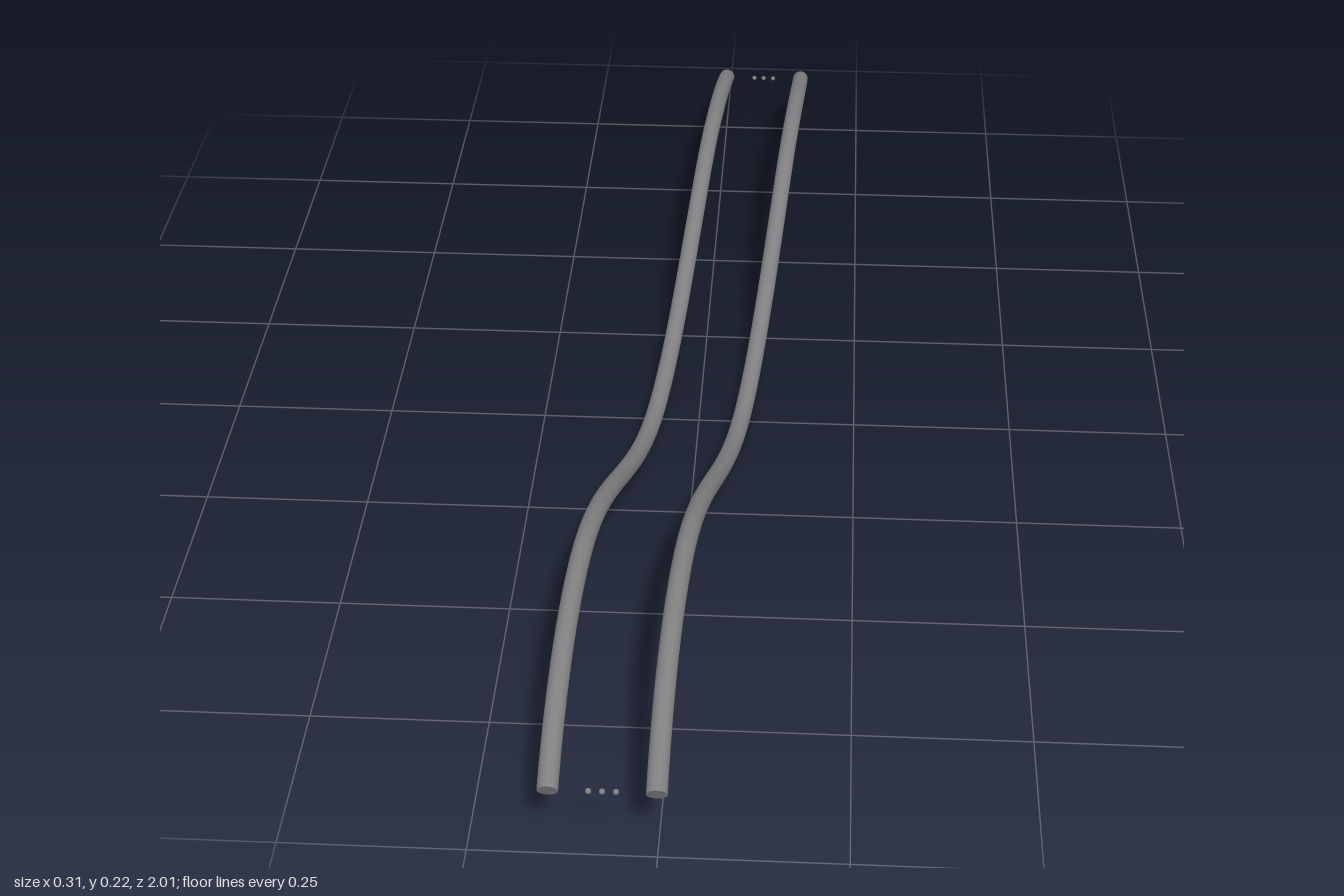
import * as THREE from 'three';

const RADIUS = 0.014, SHIFT = 0.1405, END_Y = 0.109;

// Height knots along the rail: z, y, slope dy/dz
const KNOTS = [
  [-1, END_Y, 0.43],
  [-0.65, 0.188, 0],
  [0, RADIUS, 0],
  [0.64, 0.208, 0],
  [1, END_Y, -0.5],
];

function heightAt(z) {
  let i = 0;
  while (i < KNOTS.length - 2 && z > KNOTS[i + 1][0]) i++;
  const [z0, y0, m0] = KNOTS[i], [z1, y1, m1] = KNOTS[i + 1];
  const h = z1 - z0, t = (z - z0) / h, t2 = t * t, t3 = t2 * t;
  return (2 * t3 - 3 * t2 + 1) * y0 + (t3 - 2 * t2 + t) * h * m0
    + (3 * t2 - 2 * t3) * y1 + (t3 - t2) * h * m1;
}

// Wavy path that also drifts sideways in a gentle S
class RailCurve extends THREE.Curve {
  constructor(startX) {
    super();
    this.startX = startX;
  }
  getPoint(t, target = new THREE.Vector3()) {
    const z = 1 - 2 * t;
    const x = this.startX + SHIFT * t * t * (3 - 2 * t);
    return target.set(x, heightAt(z), z);
  }
}

export function createModel() {
  const model = new THREE.Group();
  const material = new THREE.MeshStandardMaterial({ color: 0x808080 });
  const add = (parent, geometry, name) => {
    const mesh = new THREE.Mesh(geometry, material);
    mesh.name = name;
    parent.add(mesh);
    return mesh;
  };

  // Two parallel rails with closed ends
  for (const [name, startX] of [['rightRail', -SHIFT], ['leftRail', 0]]) {
    const rail = new THREE.Group();
    rail.name = name;
    const curve = new RailCurve(startX);
    add(rail, new THREE.TubeGeometry(curve, 160, RADIUS, 24, false), name + 'Tube');
    for (const end of [0, 1]) {
      const cap = add(rail, new THREE.CircleGeometry(RADIUS, 24), name + (end ? 'BackCap' : 'FrontCap'));
      const p = curve.getPoint(end);
      const outward = curve.getTangent(end).multiplyScalar(end ? 1 : -1);
      cap.position.copy(p);
      cap.lookAt(p.clone().add(outward));
    }
    model.add(rail);
  }

  // Three small beads between the rails at each end
  for (const side of [1, -1]) {
    for (const k of [-1, 0, 1]) {
      const bead = add(model, new THREE.SphereGeometry(0.004, 16, 12), side > 0 ? 'frontBead' : 'backBead');
      bead.position.set(-side * SHIFT / 2 + k * 0.0178, END_Y, side * 0.998);
    }
  }
  return model;
}
